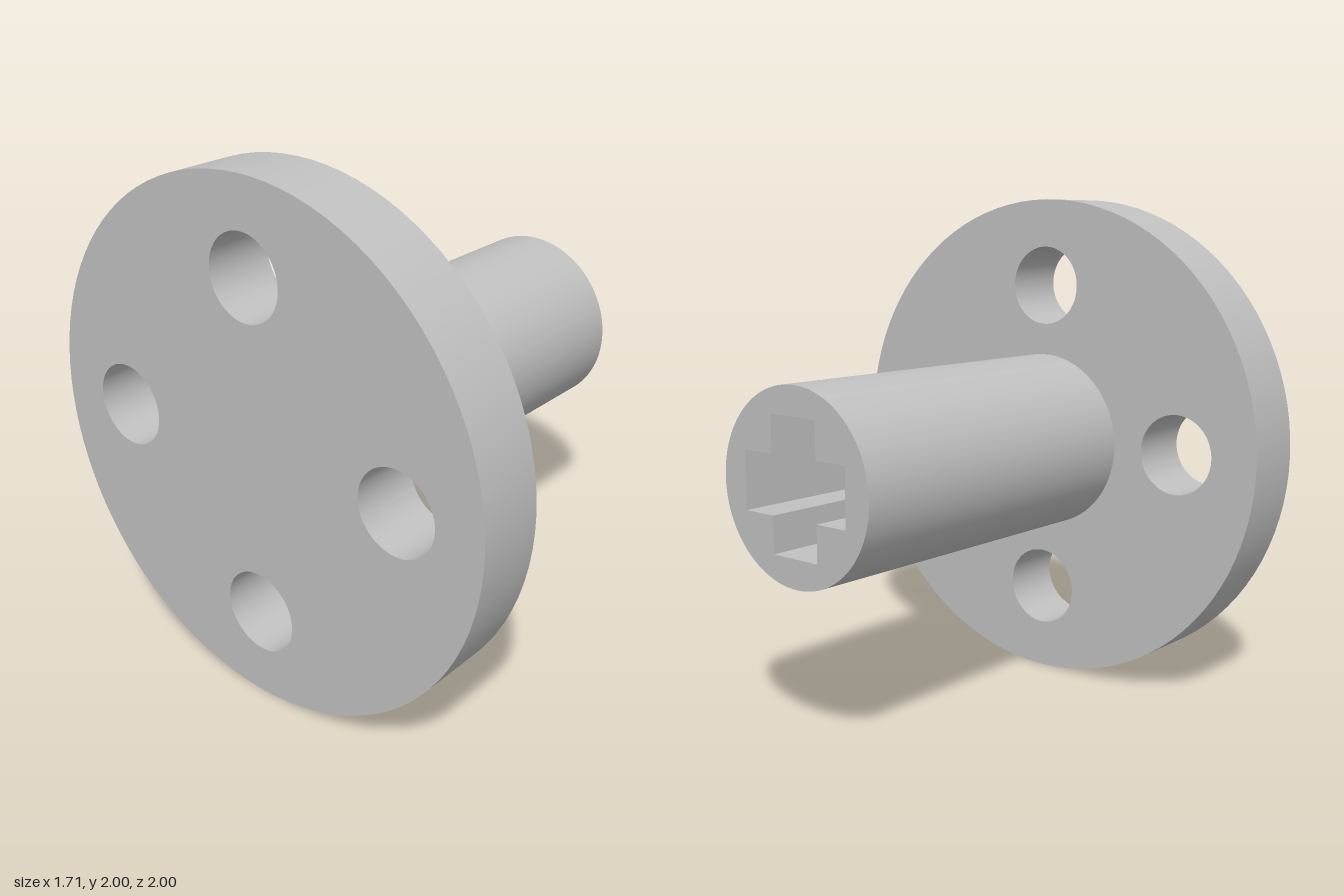
import * as THREE from 'three';
import { toCreasedNormals } from 'three/addons/utils/BufferGeometryUtils.js';

const AXIS_Y = 1;
const FLANGE_BACK = -0.855, FLANGE_FRONT = -0.58, SHAFT_END = 0.855;

// Closed circular outline
function circle(PathType, x, y, radius) {
  const path = new PathType();
  path.absarc(x, y, radius, 0, Math.PI * 2, false);
  return path;
}

// Plus-shaped outline with the given arm length and half width
function cross(arm, half) {
  const points = [];
  for (let i = 0; i < 4; i++) {
    for (const [x, y] of [[arm, -half], [arm, half], [half, half]]) {
      points.push(new THREE.Vector2(x, y).rotateAround(new THREE.Vector2(), i * Math.PI / 2));
    }
  }
  return new THREE.Path(points);
}

// Extrude a profile along x between two positions, smooth around the curves
function extrudeAlongX(name, shape, x0, x1, material) {
  const raw = new THREE.ExtrudeGeometry(shape, { depth: x1 - x0, bevelEnabled: false, curveSegments: 48 });
  raw.rotateY(Math.PI / 2);
  raw.translate(x0, AXIS_Y, 0);
  const mesh = new THREE.Mesh(toCreasedNormals(raw, 0.5), material);
  mesh.name = name;
  return mesh;
}

export function createModel() {
  const group = new THREE.Group();
  group.name = 'flangedAxleConnector';
  const grey = new THREE.MeshStandardMaterial({ color: 0xc0c0c0 });
  grey.name = 'light grey';

  // Round flange with four through holes
  const flange = circle(THREE.Shape, 0, 0, 1);
  for (let i = 0; i < 4; i++) {
    const a = i * Math.PI / 2;
    flange.holes.push(circle(THREE.Path, 0.647 * Math.cos(a), 0.647 * Math.sin(a), 0.16));
  }
  group.add(extrudeAlongX('flange', flange, FLANGE_BACK, FLANGE_FRONT, grey));

  // Shaft with a cross-shaped socket, closed at the bottom by the flange
  const shaft = circle(THREE.Shape, 0, 0, 0.36);
  shaft.holes.push(cross(0.25, 0.11));
  group.add(extrudeAlongX('shaft', shaft, FLANGE_FRONT, SHAFT_END, grey));

  return group;
}
